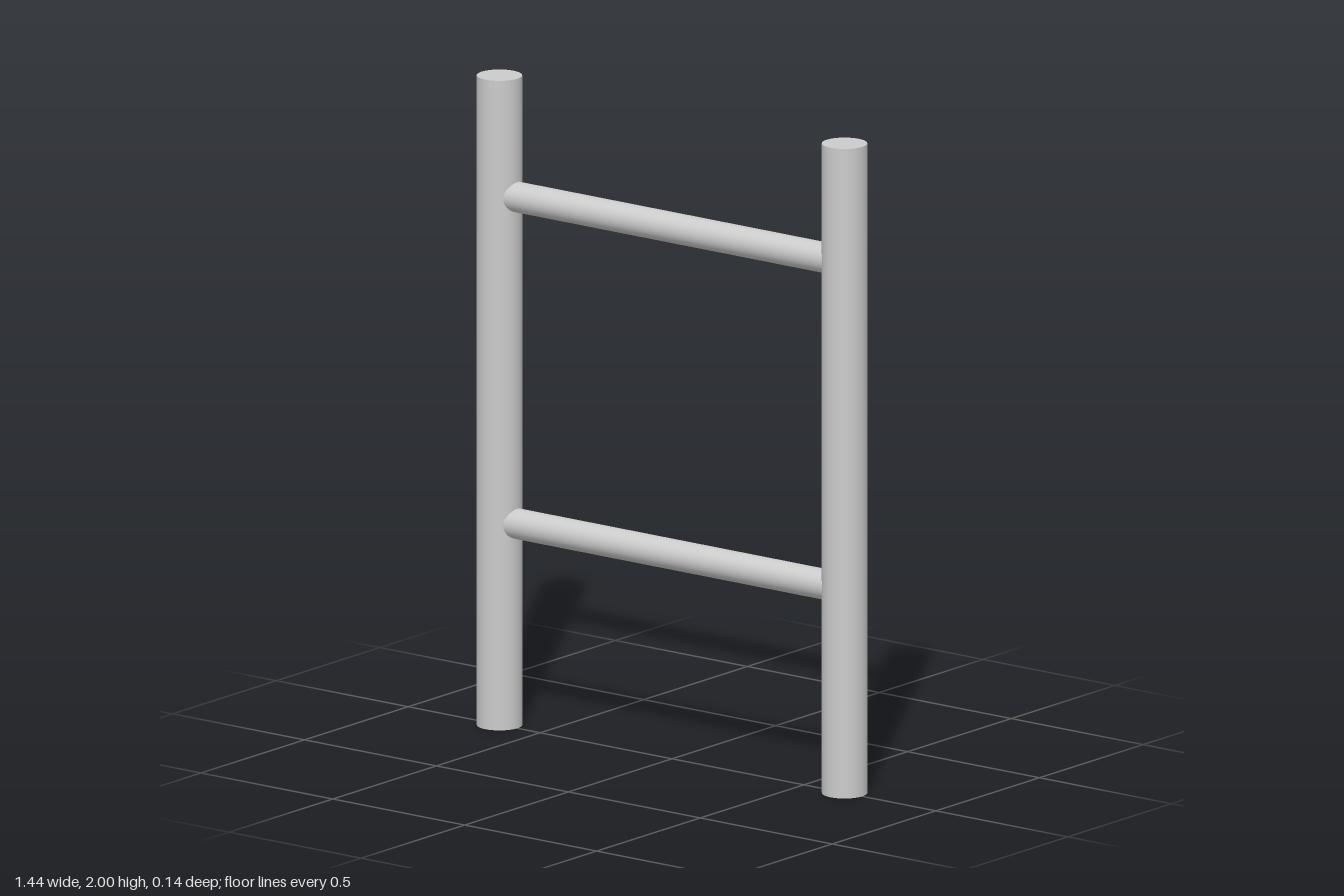
import * as THREE from 'three';

const HEIGHT = 2;
const POST_X = 0.654;
const POST_RADIUS = 0.068;
const RUNG_RADIUS = 0.046;

export function createModel() {
  const group = new THREE.Group();
  group.name = 'ladderSection';
  const material = new THREE.MeshStandardMaterial({ color: 0xcccccc });

  // Upright round posts, left and right
  const postGeometry = new THREE.CylinderGeometry(POST_RADIUS, POST_RADIUS, HEIGHT, 40);
  for (const [name, side] of [['leftPost', 1], ['rightPost', -1]]) {
    const post = new THREE.Mesh(postGeometry, material);
    post.name = name;
    post.position.set(side * POST_X, HEIGHT / 2, 0);
    group.add(post);
  }

  // Horizontal rungs, with their ends buried in the posts
  const rungGeometry = new THREE.CylinderGeometry(RUNG_RADIUS, RUNG_RADIUS, POST_X * 2, 32);
  rungGeometry.rotateZ(Math.PI / 2);
  for (const [name, y] of [['lowerRung', 0.63], ['upperRung', 1.636]]) {
    const rung = new THREE.Mesh(rungGeometry, material);
    rung.name = name;
    rung.position.y = y;
    group.add(rung);
  }

  return group;
}
